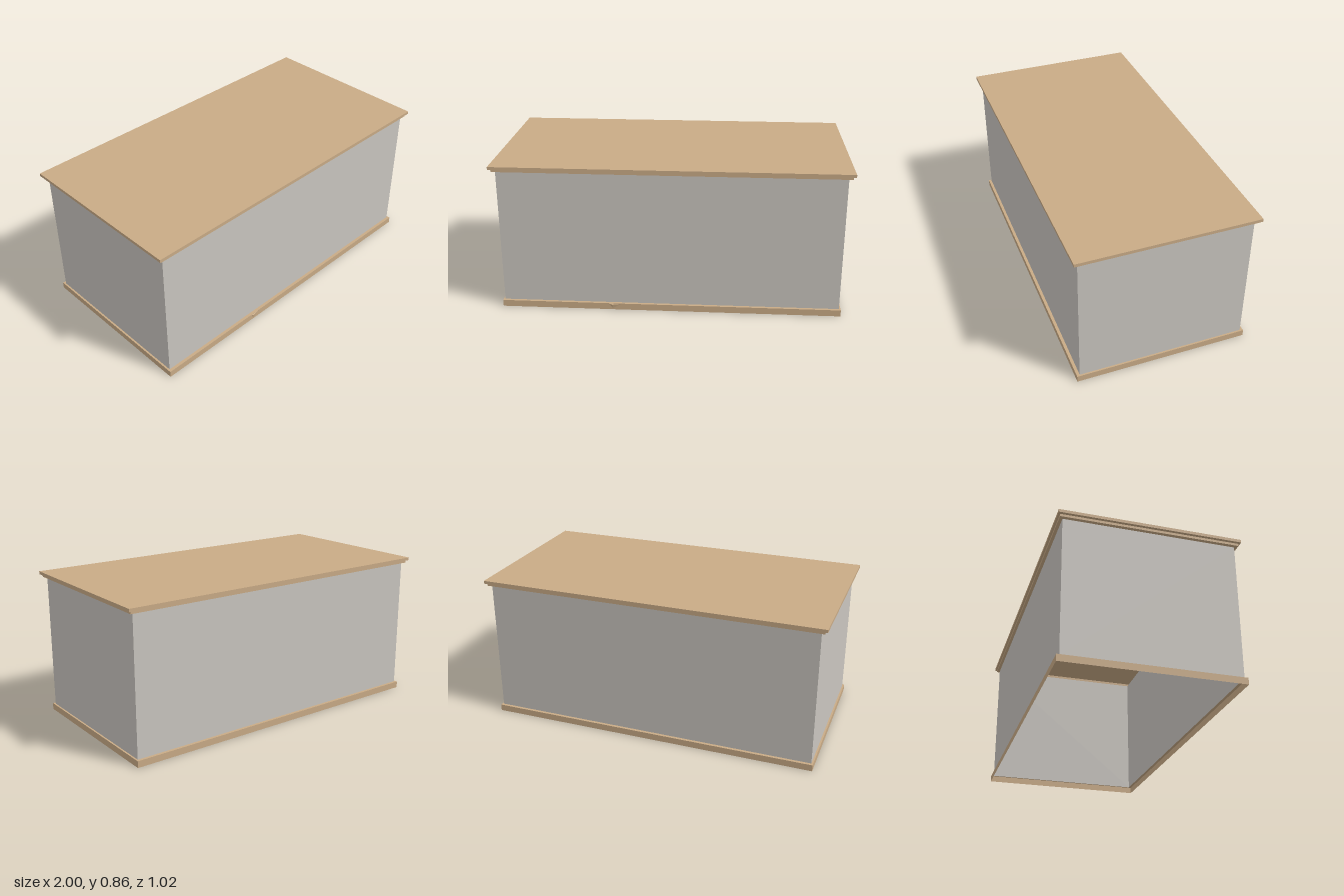
import * as THREE from 'three';
import { ConvexGeometry } from 'three/addons/geometries/ConvexGeometry.js';

const wood = new THREE.MeshStandardMaterial({ color: 0xc9ab86, side: THREE.DoubleSide });
wood.name = 'tan wood';
const plaster = new THREE.MeshStandardMaterial({ color: 0xc9c5bf, side: THREE.DoubleSide });
plaster.name = 'warm grey wall';

// Rectangular sheet swept through loops of [half width, half depth, height], bottom to top
function shell(profile, capTop = false) {
  const pos = [];
  const loops = profile.map(([x, z, y]) => [[x, y, z], [x, y, -z], [-x, y, -z], [-x, y, z]]);
  const quad = (a, b, c, d) => pos.push(...a, ...b, ...c, ...a, ...c, ...d);
  for (let i = 0; i < loops.length - 1; i++) {
    const lo = loops[i], hi = loops[i + 1];
    for (let k = 0; k < 4; k++) {
      const n = (k + 1) % 4;
      quad(lo[k], lo[n], hi[n], hi[k]);
    }
  }
  if (capTop) quad(...loops[loops.length - 1]);
  const g = new THREE.BufferGeometry();
  g.setAttribute('position', new THREE.Float32BufferAttribute(pos, 3));
  g.computeVertexNormals();
  return g;
}

const chip = (points) => new ConvexGeometry(points.map((p) => new THREE.Vector3(...p)));

export function createModel() {
  const model = new THREE.Group();
  model.name = 'openBottomedBox';
  const add = (name, geometry, material) => {
    const mesh = new THREE.Mesh(geometry, material);
    mesh.name = name;
    model.add(mesh);
  };

  // Hollow skirting with a narrow ledge up to the walls
  add('baseSkirting', shell([
    [0.975, 0.5, 0], [0.975, 0.5, 0.038], [0.965, 0.483, 0.038],
  ]), wood);

  // Four thin walls, open underneath
  add('walls', shell([[0.965, 0.483, 0.038], [0.965, 0.483, 0.826]]), plaster);

  // Stepped moulding rising into the flat top
  add('topSlabAndMoulding', shell([
    [0.965, 0.483, 0.826], [0.985, 0.5, 0.826], [0.985, 0.5, 0.836],
    [0.985, 0.5, 0.84], [1, 0.511, 0.841], [1, 0.511, 0.858],
  ], true), wood);

  // Small faceted chip on the front skirting
  add('skirtingChip', chip([
    [-0.36, 0.037, 0.499], [-0.33, 0.002, 0.499], [-0.27, 0.037, 0.499], [-0.335, 0.03, 0.504],
  ]), wood);

  // Small faceted block in the inside front corner
  add('innerCornerBlock', chip([
    [-0.964, 0.46, 0.482], [-0.964, 0.63, 0.482], [-0.92, 0.55, 0.482], [-0.964, 0.53, 0.41],
  ]), plaster);

  return model;
}
